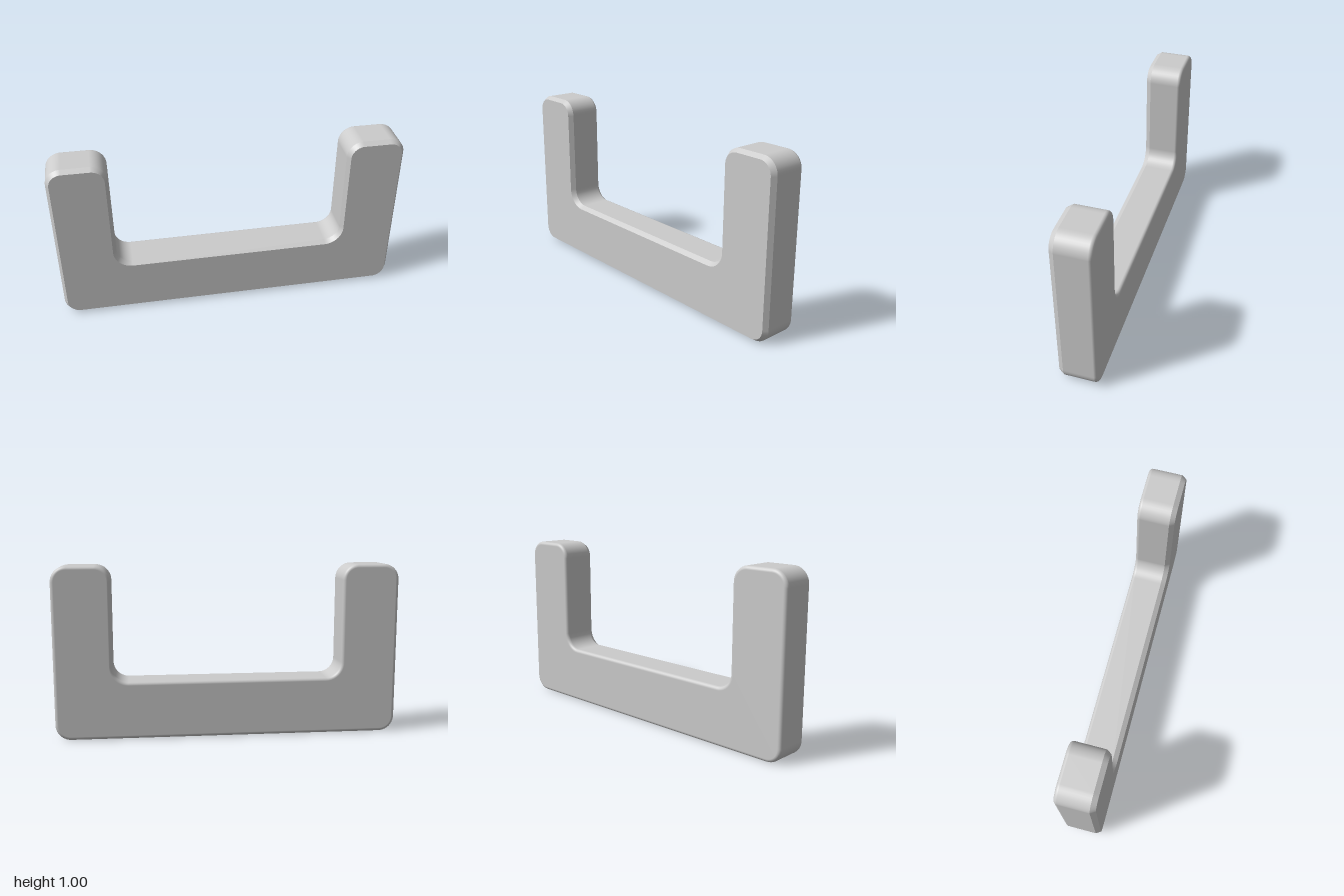
import * as THREE from 'three';

const R = 0.09;        // corner radius of the outline
const STEPS = 10;      // segments per rounded corner
const HALF = 0.109;    // half thickness
const N = 0.667, F = 0.335; // half width and floor height of the notch

// Corners counter-clockwise: x, y, arc centre direction, start and end angle of the outward normal (degrees)
const CORNERS = [
  [1, 0, -1, 1, -90, 0],
  [1, 1, -1, -1, 0, 90],
  [N, 1, 1, -1, 90, 180],
  [N, F, -1, 1, 180, 90],
  [-N, F, 1, 1, 90, 0],
  [-N, 1, -1, -1, 0, 90],
  [-1, 1, 1, -1, 90, 180],
  [-1, 0, 1, 1, 180, 270],
];

// U-shaped outline moved inwards by inset, with outward directions
function outline(inset) {
  const pts = [];
  for (const [x, y, sx, sy, a0, a1] of CORNERS) {
    const radius = a1 > a0 ? R - inset : -(R + inset); // negative for the inner fillets
    for (let i = 0; i <= STEPS; i++) {
      const a = THREE.MathUtils.degToRad(a0 + ((a1 - a0) * i) / STEPS);
      const nx = Math.cos(a), ny = Math.sin(a);
      pts.push({ x: x + sx * R + radius * nx, y: y + sy * R + radius * ny, nx, ny });
    }
  }
  return pts;
}

// Skin between rings given as [inset, z, normal tilt towards +z]
function skin(rings) {
  const pos = [], nor = [], index = [];
  const count = CORNERS.length * (STEPS + 1);
  rings.forEach(([inset, z, tilt], k) => {
    const c = Math.cos(tilt), s = Math.sin(tilt);
    for (const p of outline(inset)) {
      pos.push(p.x, p.y, z);
      nor.push(p.nx * c, p.ny * c, s);
    }
    if (k === 0) return;
    for (let i = 0; i < count; i++) {
      const j = (i + 1) % count;
      const a = (k - 1) * count + i, b = (k - 1) * count + j;
      const d = k * count + i, e = k * count + j;
      index.push(a, b, e, a, e, d);
    }
  });
  const g = new THREE.BufferGeometry();
  g.setAttribute('position', new THREE.Float32BufferAttribute(pos, 3));
  g.setAttribute('normal', new THREE.Float32BufferAttribute(nor, 3));
  g.setIndex(index);
  return g;
}

// Flat U-shaped face
function face(inset) {
  return new THREE.ShapeGeometry(new THREE.Shape(outline(inset).map(p => new THREE.Vector2(p.x, p.y))));
}

export function createModel() {
  const group = new THREE.Group();
  group.name = 'bracket';
  const material = new THREE.MeshStandardMaterial({ color: 0xcccccc });
  const add = (name, geometry) => {
    const mesh = new THREE.Mesh(geometry, material);
    mesh.name = name;
    group.add(mesh);
    return mesh;
  };

  const chamferIn = 0.018, chamferZ = 0.028, round = 0.02;

  // Rounded back edge running into the straight side wall
  const rings = [];
  for (let i = 0; i <= 6; i++) {
    const t = -Math.PI / 2 * (1 - i / 6);
    rings.push([round * (1 - Math.cos(t)), -HALF + round + round * Math.sin(t), t]);
  }
  rings.push([0, HALF - chamferZ, 0]);
  add('sideWall', skin(rings));

  // Straight chamfer around the front face
  const tilt = Math.atan2(chamferIn, chamferZ);
  add('frontChamfer', skin([[0, HALF - chamferZ, tilt], [chamferIn, HALF, tilt]]));

  add('frontFace', face(chamferIn)).position.z = HALF;

  // Back face, mirrored by a half turn about y (the outline is symmetric)
  const back = add('backFace', face(round));
  back.rotation.y = Math.PI;
  back.position.z = -HALF;

  return group;
}
